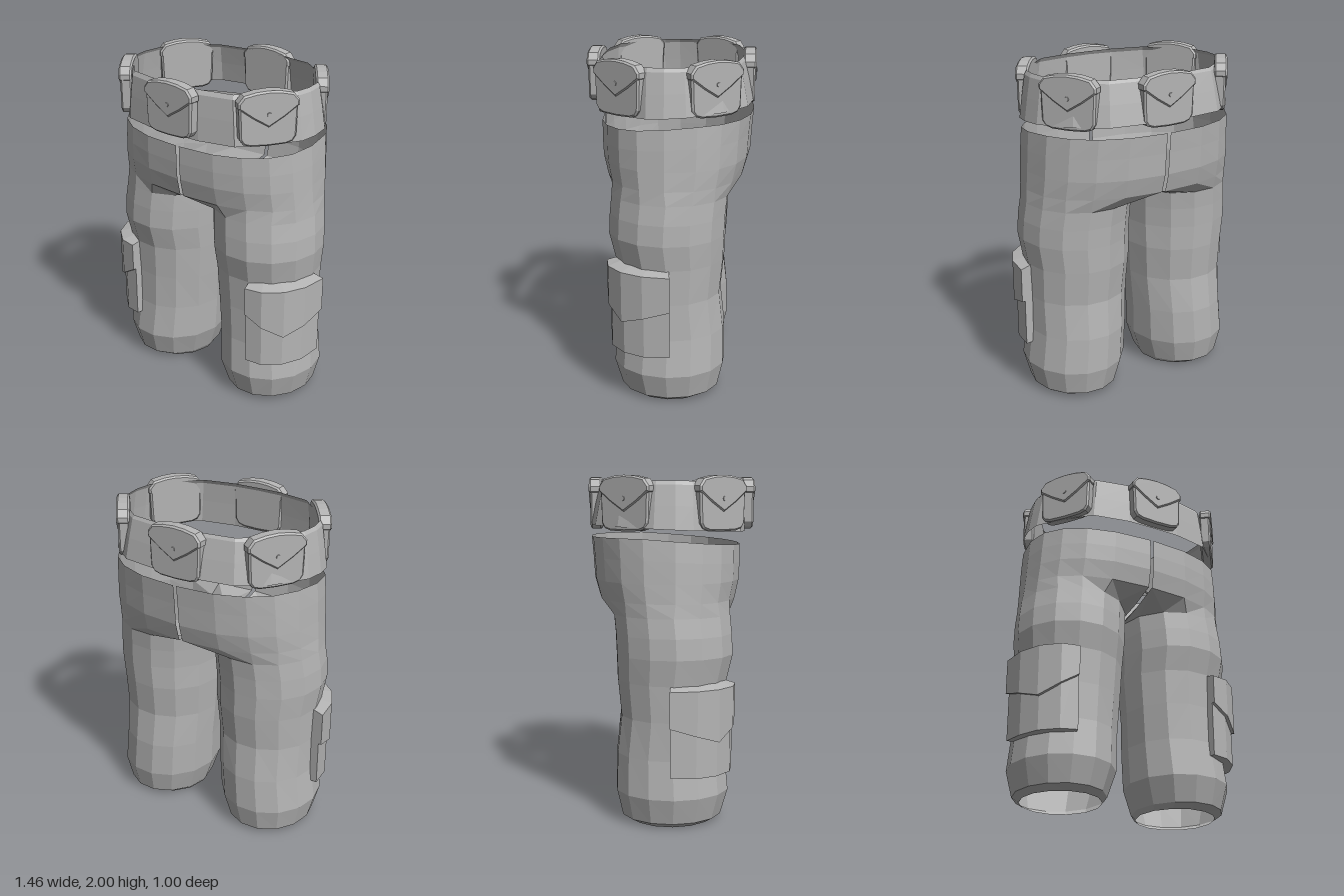
import * as THREE from 'three';

const cloth = new THREE.MeshStandardMaterial({ color: 0xb4b4b4, flatShading: true, side: THREE.DoubleSide });
cloth.name = 'grey cloth';

function mesh(geometry, name) {
  const m = new THREE.Mesh(geometry, cloth);
  m.name = name;
  return m;
}

// Skin a list of equal-length rings of [x, y, z] points
function loft(rings, closed) {
  const n = rings[0].length, index = [];
  for (let r = 0; r < rings.length - 1; r++) {
    for (let j = 0; j < (closed ? n : n - 1); j++) {
      const k = (j + 1) % n;
      const a = r * n + j, b = r * n + k, c = a + n, d = b + n;
      index.push(a, b, d, a, d, c);
    }
  }
  const g = new THREE.BufferGeometry();
  g.setAttribute('position', new THREE.Float32BufferAttribute(rings.flat(2), 3));
  g.setIndex(index);
  g.computeVertexNormals();
  return g;
}

const ARC = 10;    // faces from front seam round the outside to the back seam
const SEAM = 0.01; // half gap between the two trouser halves
const rad = THREE.MathUtils.degToRad;
const soft = (v, p) => Math.sign(v) * Math.abs(v) ** p;

// Leg cross-section: outer arc first, then the inner thigh points
function legRing([y, xin, xout, back, front]) {
  const angles = [];
  for (let j = 0; j <= ARC; j++) angles.push(125 - 25 * j);
  angles.push(-152.5, -180, -207.5);
  return angles.map(a => [
    (xin + xout) / 2 + (xout - xin) / 2 * Math.cos(rad(a)), y,
    (front + back) / 2 + (front - back) / 2 * Math.sin(rad(a)),
  ]);
}

// Half hip cross-section, open along the centre seam
function hipRing([yFront, yBack, xout, back, front]) {
  const ring = [];
  for (let j = 0; j <= ARC; j++) {
    const t = Math.PI * j / ARC, c = soft(Math.cos(t), 0.85);
    const z = c > 0 ? c * front : -c * back;
    const k = THREE.MathUtils.clamp((0.4 - z) / 0.6, 0, 1);
    ring.push([SEAM + (xout - SEAM) * soft(Math.max(Math.sin(t), 0), 0.85), yFront + (yBack - yFront) * k, z]);
  }
  return ring;
}

// Curved pad following a plan path; each column is a closed four-corner section
function pad(path, inset, grow, top, bottoms) {
  const columns = path.map(([x, z], i) => {
    const dx = x - 0.37, l = Math.hypot(dx, z);
    const at = (o, y) => [x + dx / l * o, y, z + z / l * o];
    return [at(-inset, top + 0.012), at(grow, top - 0.012), at(grow, bottoms[i]), at(-inset, bottoms[i])];
  });
  const cap = c => [0, 1, 2, 3].map(() => [0, 1, 2].map(k => (c[0][k] + c[1][k] + c[2][k] + c[3][k]) / 4));
  return loft([cap(columns[0]), ...columns, cap(columns[columns.length - 1])], true);
}

function makeTrouserHalf() {
  const half = new THREE.Group();
  const legRings = [
    [0.0, 0.14, 0.61, -0.26, 0.23],
    [0.03, 0.12, 0.65, -0.31, 0.28],
    [0.18, 0.07, 0.69, -0.345, 0.325],
    [0.4, 0.06, 0.665, -0.34, 0.305],
    [0.62, 0.045, 0.665, -0.315, 0.305],
    [0.83, 0.03, 0.67, -0.335, 0.315],
    [0.98, 0.025, 0.69, -0.34, 0.35],
    [1.1, 0.018, 0.685, -0.345, 0.345],
    [1.21, 0.013, 0.67, -0.355, 0.335],
  ].map(legRing);
  const hips = [
    [1.29, 1.29, 0.66, -0.44, 0.38],
    [1.4, 1.4, 0.652, -0.47, 0.405],
    [1.5, 1.53, 0.645, -0.478, 0.41],
    [1.605, 1.65, 0.635, -0.488, 0.41],
  ].map(hipRing);
  // crotch saddle closes the leg under the open seam
  const crotch = [...hips[0], [SEAM, 1.245, -0.22], [SEAM, 1.22, 0], [SEAM, 1.245, 0.2]];
  half.add(mesh(loft([...legRings, crotch], true), 'leg'));
  half.add(mesh(loft(hips, false), 'hip'));

  // cargo pocket wrapped round the outer front of the thigh
  const path = [[0.445, 0.35], [0.55, 0.33], [0.65, 0.245], [0.71, 0.12], [0.727, -0.035]];
  half.add(mesh(pad(path, 0.09, -0.015, 0.8, [0.315, 0.31, 0.31, 0.31, 0.32]), 'legPocket'));
  half.add(mesh(pad(path, 0.09, 0.004, 0.825, [0.64, 0.575, 0.51, 0.555, 0.605]), 'legPocketFlap'));
  return half;
}

function makeBelt() {
  // right-hand half of the lower edge in plan, front to back
  const side = [[0, 0.432], [0.17, 0.43], [0.39, 0.385], [0.53, 0.25], [0.64, 0.1], [0.655, 0],
    [0.64, -0.12], [0.52, -0.32], [0.36, -0.45], [0.17, -0.48], [0, -0.485]];
  const plan = [...side, ...side.slice(1, -1).reverse().map(([x, z]) => [-x, z])];
  const ring = (yFront, yBack, sx, sFront, sBack) => plan.map(([x, z]) => [
    x * sx, yFront + (yBack - yFront) * (0.43 - z) / 0.915, z * (z > 0 ? sFront : sBack),
  ]);
  return mesh(loft([
    ring(1.68, 1.72, 1, 1, 1),
    ring(1.82, 1.84, 0.97, 0.985, 0.95),
    ring(1.94, 1.95, 0.94, 0.965, 0.895),
    ring(1.965, 1.968, 0.92, 0.93, 0.87),
  ], true), 'belt');
}

function extrude(points, depth) {
  const shape = new THREE.Shape(points.map(p => new THREE.Vector2(...p)));
  return new THREE.ExtrudeGeometry(shape, {
    depth: depth - 0.01, bevelEnabled: true, bevelThickness: 0.01, bevelSize: 0.01, bevelOffset: -0.01, bevelSegments: 1,
  });
}

// Belt pouch with pointed flap and button, facing +z
function makePouch() {
  const pouch = new THREE.Group();
  pouch.name = 'pouch';
  pouch.add(mesh(extrude([
    [-0.1, 1.692], [0, 1.688], [0.1, 1.692], [0.14, 1.705], [0.16, 1.735], [0.167, 1.93],
    [0.13, 1.975], [-0.13, 1.975], [-0.167, 1.93], [-0.16, 1.735], [-0.14, 1.705],
  ], 0.058), 'pouchBody'));
  pouch.add(mesh(extrude([
    [0, 1.795], [0.09, 1.85], [0.172, 1.91], [0.172, 1.94], [0.14, 1.98], [0.07, 1.995], [0, 2.0],
    [-0.07, 1.995], [-0.14, 1.98], [-0.172, 1.94], [-0.172, 1.91], [-0.09, 1.85],
  ], 0.066), 'pouchFlap'));
  const button = mesh(new THREE.CylinderGeometry(0.012, 0.014, 0.01, 8).rotateX(Math.PI / 2), 'pouchButton');
  button.position.set(0, 1.87, 0.066);
  pouch.add(button);
  return pouch;
}

export function createModel() {
  const model = new THREE.Group();
  model.name = 'cargoTrousers';

  const left = makeTrouserHalf();
  left.name = 'leftHalf';
  const right = makeTrouserHalf();
  right.name = 'rightHalf';
  right.scale.x = -1;
  model.add(left, right, makeBelt());

  // pouches: front, back and the four corners [x, z, turn]
  const spots = [[0, 0.425, 0], [0, -0.43, Math.PI]];
  for (const s of [1, -1]) spots.push([0.487 * s, 0.238, 0.94 * s], [0.485 * s, -0.25, (Math.PI - 0.94) * s]);
  for (const [x, z, turn] of spots) {
    const pouch = makePouch();
    pouch.position.set(x, 0, z);
    pouch.rotation.y = turn;
    model.add(pouch);
  }
  return model;
}
